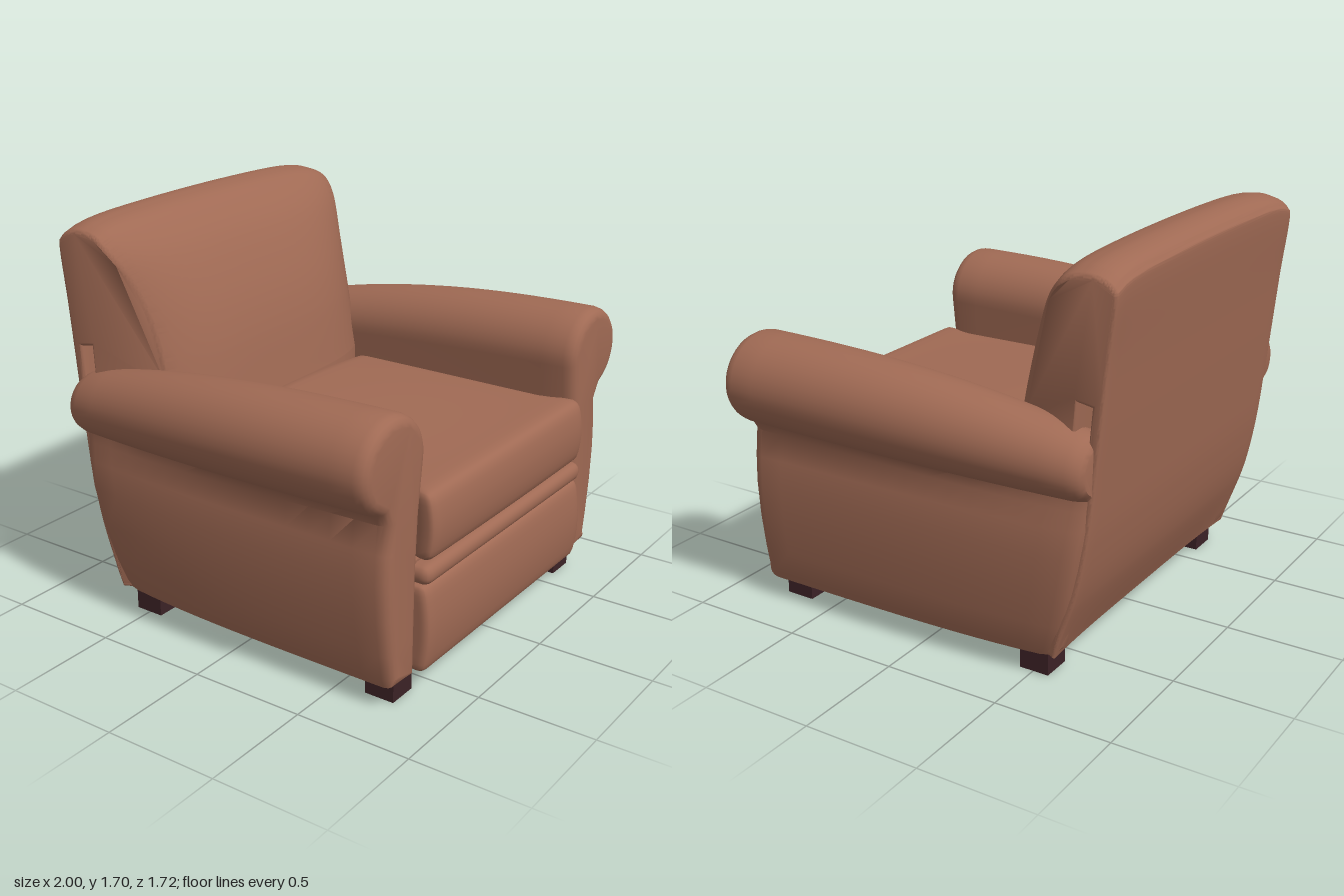
import * as THREE from 'three';
import { mergeVertices, toCreasedNormals } from 'three/addons/utils/BufferGeometryUtils.js';

const { lerp, smoothstep } = THREE.MathUtils;

// Move every vertex of a geometry by a rule
function reshape(geo, rule) {
  const pos = geo.attributes.position;
  const v = new THREE.Vector3();
  for (let i = 0; i < pos.count; i++) {
    rule(v.fromBufferAttribute(pos, i));
    pos.setXYZ(i, v.x, v.y, v.z);
  }
  return geo;
}

// Soft rounded block between two corners, with an optional extra rule
function pillow(min, max, radius, rule = () => {}) {
  const size = max.map((m, i) => m - min[i]);
  const inner = new THREE.Vector3(...size).multiplyScalar(0.5).subScalar(radius);
  const low = inner.clone().negate();
  const core = new THREE.Vector3();
  let geo = new THREE.BoxGeometry(2, 2, 2, 28, 14, 20);
  geo.deleteAttribute('uv');
  geo.deleteAttribute('normal');
  reshape(geo, (v) => {
    // crowd the grid lines towards the edges, then round the edges off
    v.set(...v.toArray().map((c, i) => Math.sin(c * Math.PI / 2) * size[i] / 2));
    core.copy(v).clamp(low, inner);
    v.sub(core).setLength(radius).add(core);
    v.set(...v.toArray().map((c, i) => c + (min[i] + max[i]) / 2));
    rule(v);
  });
  geo = mergeVertices(geo, 1e-4);
  geo.computeVertexNormals();
  return geo;
}

// Skin over closed rings that run from front to rear, with caps on both ends
function loft(rings) {
  const n = rings[0].length;
  const index = [];
  for (let i = 0; i < rings.length - 1; i++) {
    for (let j = 0; j < n; j++) {
      const a = i * n + j, b = i * n + (j + 1) % n;
      index.push(a, b, a + n, b, b + n, a + n);
    }
  }
  const flat = rings[0].map((p) => new THREE.Vector2(p.x, p.y));
  const last = (rings.length - 1) * n;
  for (const [a, b, c] of THREE.ShapeUtils.triangulateShape(flat, [])) {
    const ccw = THREE.ShapeUtils.area([flat[a], flat[b], flat[c]]) > 0;
    const [p, q] = ccw ? [b, c] : [c, b];
    index.push(a, p, q, last + a, last + q, last + p);
  }
  const geo = new THREE.BufferGeometry().setFromPoints(rings.flat());
  geo.setIndex(index);
  return toCreasedNormals(geo, 0.75);
}

// Sloping rear edge of the side panels
function rearZ(y) {
  const k = Math.min(1, (y - 0.1) / 0.75);
  return -0.6 - 0.18 * Math.pow(Math.max(0, k), 0.65);
}

// Outline of one arm at t (0 front, 1 rear), drawn in by inset
function armRing(t, inset, side) {
  const taper = Math.pow(t, 2.5);
  const outer = 1 - 0.135 * taper, inside = 0.585 + 0.015 * t;
  const top = 1.21 - 0.165 * taper, bottom = 0.83 - 0.04 * t;
  const panel = 0.845 - 0.05 * Math.pow(t, 4);
  const cx = (outer + inside) / 2, rx = (outer - inside) / 2;
  const cy = (top + bottom) / 2, ry = (top - bottom) / 2;
  const pts = [[0.64, 0.1], [0.632, 0.3], [0.628, 0.55], [0.615, 0.78]];
  for (let i = 0; i <= 26; i++) {
    const a = Math.PI * (1.05 - 1.43 * i / 26);
    pts.push([cx + rx * Math.cos(a), cy + ry * Math.sin(a)]);
  }
  pts.push([panel - 0.01, bottom - 0.035], [panel + 0.005, 0.68], [panel + 0.01, 0.56],
    [panel, 0.4], [panel - 0.02, 0.25], [panel - 0.04, 0.14], [panel - 0.055, 0.1]);
  const ring = pts.map(([x, y], i) => {
    const p = pts[(i + pts.length - 1) % pts.length], q = pts[(i + 1) % pts.length];
    const dx = q[0] - p[0], dy = q[1] - p[1], len = Math.hypot(dx, dy);
    const ny = y - inset * dx / len;
    return new THREE.Vector3(side * (x + inset * dy / len), Math.max(0.1, ny), lerp(0.8, rearZ(ny), t));
  });
  return side > 0 ? ring : ring.reverse();
}

function armGeometry(side) {
  const stations = [[0, 0.045], [0.003, 0.028], [0.01, 0.014], [0.02, 0.005], [0.035, 0]];
  for (let i = 1; i <= 14; i++) stations.push([0.035 + 0.925 * i / 14, 0]);
  stations.push([0.98, 0.006], [0.993, 0.016], [1, 0.032]);
  return loft(stations.map(([t, inset]) => armRing(t, inset, side)));
}

// Backrest: side profile extruded across the chair, then narrowed and bowed
function backGeometry() {
  const bevel = 0.015, half = 0.77;
  const shape = new THREE.Shape();
  shape.moveTo(0.28, 0.104);
  shape.lineTo(0.6, 0.104);
  shape.splineThru([[0.7, 0.35], [0.755, 0.6], [0.79, 0.9], [0.83, 1.3], [0.86, 1.6], [0.85, 1.66],
    [0.8, 1.695], [0.72, 1.703], [0.62, 1.67], [0.5, 1.55], [0.4, 1.36], [0.33, 1.15], [0.28, 0.88]]
    .map((p) => new THREE.Vector2(...p)));
  // small opening low on each side
  shape.holes.push(new THREE.Path([[0.7, 1.04], [0.757, 1.04], [0.768, 1.165], [0.708, 1.175]]
    .map((p) => new THREE.Vector2(...p))));
  const geo = new THREE.ExtrudeGeometry(shape, {
    depth: 2 * (half - bevel), steps: 28, curveSegments: 48,
    bevelSize: bevel, bevelThickness: bevel, bevelOffset: -bevel, bevelSegments: 4,
  });
  geo.translate(0, 0, bevel - half).rotateY(Math.PI / 2);
  reshape(geo, (v) => {
    const k = Math.abs(v.x) / half;
    const front = smoothstep(v.z, -0.7, -0.3);
    v.x *= 1 - 0.15 * smoothstep(v.z, -0.64, -0.3);
    v.z -= 0.1 * front * Math.pow(k, 4);
    v.y -= smoothstep(v.y, 1.3, 1.7) * (0.02 * k * k + 0.035 * Math.pow(k, 10));
  });
  geo.deleteAttribute('uv');
  return toCreasedNormals(geo, 0.7);
}

export function createModel() {
  const chair = new THREE.Group();
  chair.name = 'armchair';
  const leather = new THREE.MeshStandardMaterial({ color: 0xa06a54 });
  leather.name = 'brown leather';
  const wood = new THREE.MeshStandardMaterial({ color: 0x3c2226 });
  wood.name = 'dark wood';
  const add = (name, geo, material = leather) => {
    const mesh = new THREE.Mesh(geo, material);
    mesh.name = name;
    chair.add(mesh);
    return mesh;
  };

  add('backrest', backGeometry());
  add('leftArm', armGeometry(1));
  add('rightArm', armGeometry(-1));

  // Seat cushion: crowned top, swollen front, wider lip ahead of the arms
  add('seatCushion', pillow([-0.575, 0.565, -0.3], [0.575, 0.86, 0.82], 0.045, (v) => {
    const k = v.x / 0.575;
    const lip = smoothstep(v.z, 0.66, 0.8);
    if (v.y > 0.7) v.y += 0.025 * (1 - k * k) * (1 - smoothstep(v.z, -0.1, 0.75));
    else v.y -= 0.008 * (1 - k * k) * lip;
    v.z += lip * 0.035 * (1 - Math.pow((v.y - 0.71) / 0.17, 2));
    v.x *= 1 + 0.08 * lip;
  }));

  // Front rail and panel below the cushion
  add('frontRail', pillow([-0.635, 0.475, 0.68], [0.635, 0.56, 0.842], 0.04));
  add('frontPanel', pillow([-0.635, 0.1, 0.66], [0.635, 0.478, 0.825], 0.035, (v) => {
    if (v.z > 0.75) v.z += 0.025 * (1 - Math.pow((v.y - 0.29) / 0.19, 2));
  }));

  // Closed body under the seat
  const base = add('seatBase', new THREE.BoxGeometry(1.29, 0.46, 1.34));
  base.position.set(0, 0.338, 0.1);

  // Four block feet
  for (const [row, z] of [['front', 0.687], ['back', -0.503]]) {
    for (const [name, x] of [['Left', 0.66], ['Right', -0.66]]) {
      add(row + name + 'Foot', new THREE.BoxGeometry(0.13, 0.11, 0.13), wood).position.set(x, 0.055, z);
    }
  }
  return chair;
}
